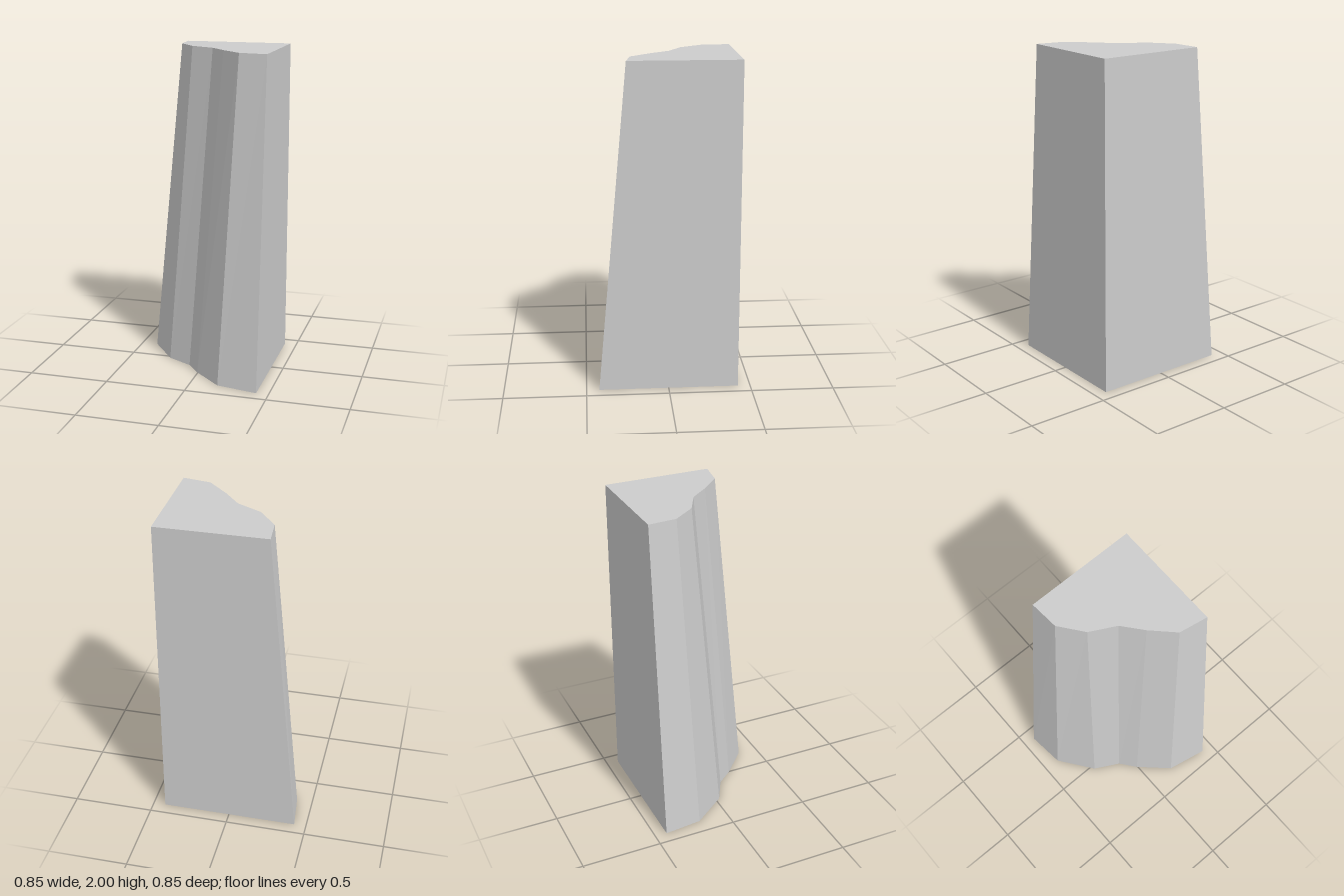
import * as THREE from 'three';

// Matching outlines as [x, z], from the back left corner round the ragged front to the back right
const FOOT = [[-0.425, -0.425], [-0.4, -0.188], [-0.24, 0.026], [-0.085, 0.11], [-0.005, 0.21],
  [0.17, 0.373], [0.424, 0.423], [0.424, -0.425]];
const CROWN = [[-0.245, -0.425], [-0.232, -0.25], [-0.124, -0.11], [0.027, -0.03], [0.125, 0.088],
  [0.251, 0.213], [0.424, 0.243], [0.424, -0.425]];
const HEIGHT = 2;

// Closed, faceted solid between two outlines with the same number of points
function loft(lower, upper, height) {
  const low = lower.map(([x, z]) => new THREE.Vector3(x, 0, z));
  const high = upper.map(([x, z]) => new THREE.Vector3(x, height, z));
  const corners = [];
  const n = low.length;

  // side walls
  for (let i = 0; i < n; i++) {
    const j = (i + 1) % n;
    corners.push(low[i], low[j], high[j], low[i], high[j], high[i]);
  }
  // end caps
  const flat = (outline) => outline.map(([x, z]) => new THREE.Vector2(x, -z));
  for (const [a, b, c] of THREE.ShapeUtils.triangulateShape(flat(upper), [])) {
    corners.push(high[a], high[b], high[c]);
  }
  for (const [a, b, c] of THREE.ShapeUtils.triangulateShape(flat(lower), [])) {
    corners.push(low[a], low[c], low[b]);
  }

  const geometry = new THREE.BufferGeometry().setFromPoints(corners);
  geometry.computeVertexNormals();
  return geometry;
}

export function createModel() {
  const stone = new THREE.MeshStandardMaterial({ color: 0xcccccc });
  stone.name = 'pale grey stone';
  stone.flatShading = true;

  const pillar = new THREE.Mesh(loft(FOOT, CROWN, HEIGHT), stone);
  pillar.name = 'taperedCliffCorner';

  const model = new THREE.Group();
  model.name = 'cliffCorner';
  model.add(pillar);
  return model;
}
